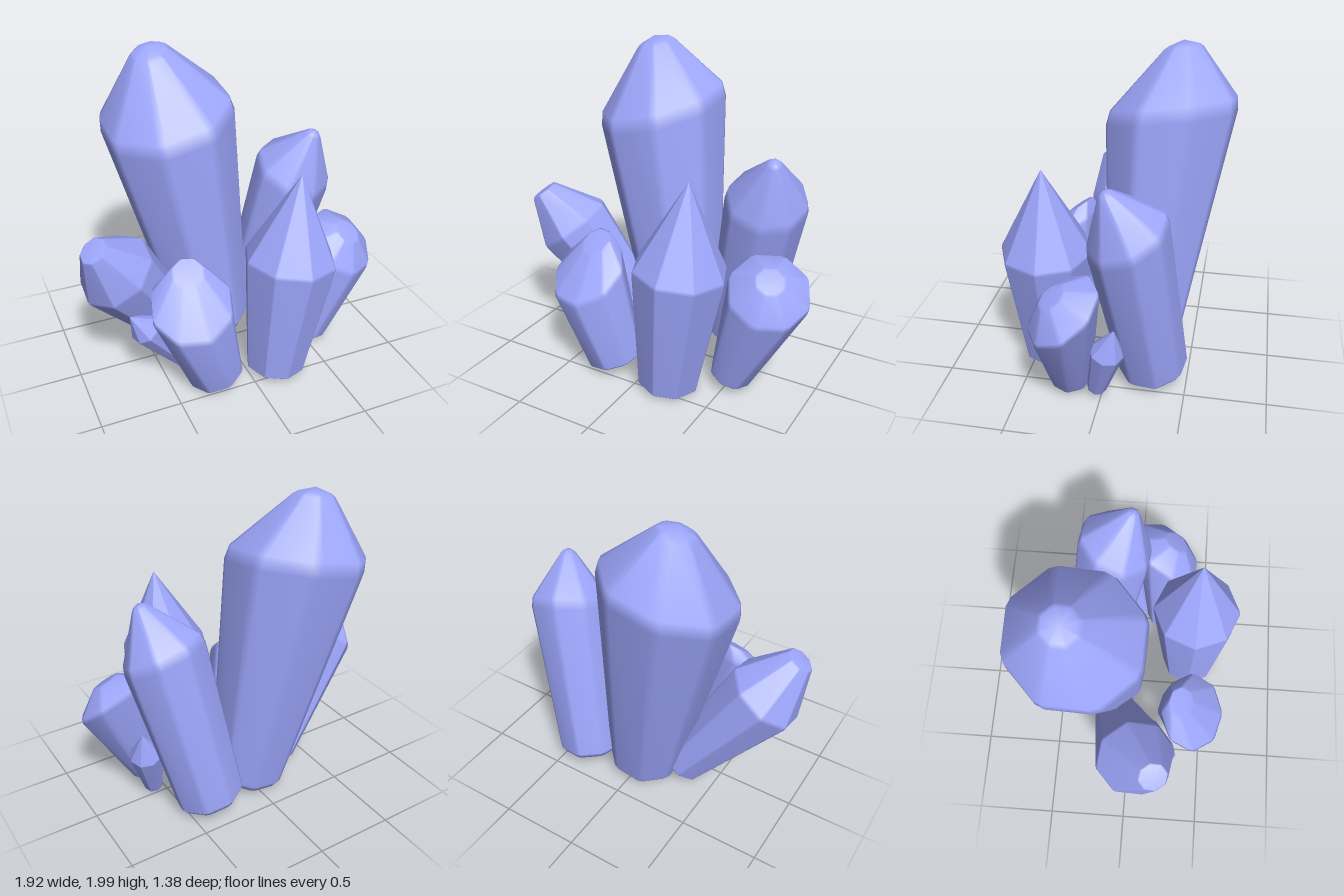
import * as THREE from 'three';

const SIDES = 8;
const V = (a) => new THREE.Vector3(...a);

// Octagon of corners around a centre, facing along n
function octagon(centre, n, r, phase) {
  const u = new THREE.Vector3(1, 0, 0).addScaledVector(n, -n.x).normalize();
  const v = n.clone().cross(u);
  return Array.from({ length: SIDES }, (_, i) => {
    const a = phase + (i / SIDES) * Math.PI * 2;
    return centre.clone().addScaledVector(u, r * Math.cos(a)).addScaledVector(v, r * Math.sin(a));
  });
}

const mix = (A, B, t) => A.map((p, i) => p.clone().lerp(B[i], t));

// Cut every corner of a ring into two close points
function cutCorners(ring, t) {
  return ring.flatMap((p, i) => [
    p.clone().lerp(ring[(i + SIDES - 1) % SIDES], t),
    p.clone().lerp(ring[(i + 1) % SIDES], t),
  ]);
}

// Skin a stack of rings from bottom to top and close both ends
function skin(rings, bottom, top) {
  const n = rings[0].length;
  const points = [...rings.flat(), bottom, top];
  const index = [];
  for (let k = 0; k < rings.length - 1; k++) {
    for (let i = 0; i < n; i++) {
      const j = (i + 1) % n, a = k * n, b = a + n;
      index.push(a + i, a + j, b + i, a + j, b + j, b + i);
    }
  }
  const last = (rings.length - 1) * n, lo = rings.length * n;
  for (let i = 0; i < n; i++) {
    const j = (i + 1) % n;
    index.push(lo, j, i, lo + 1, last + i, last + j);
  }
  const g = new THREE.BufferGeometry().setFromPoints(points);
  g.setIndex(index);
  g.computeVertexNormals();
  return g;
}

// base, shoulder and tip centres with radii; normal tilts the shoulder facet,
// bevel is the softness of the edges
function crystalGeometry({ base, shoulder, tip, r, normal, phase = 0, rise = 0, bevel = 0.1 }) {
  const b = V(base), s = V(shoulder), t = V(tip);
  const axis = s.clone().sub(b).normalize();
  const n = normal ? V(normal).normalize() : axis;
  const B = octagon(b, axis, r[0], phase);
  const S = octagon(s, n, r[1], phase);
  const T = octagon(t, n, r[2], phase);
  const rings = [
    mix(B, B.map(() => b), bevel), mix(B, S, bevel * 0.3),
    mix(B, S, 1 - bevel * 0.4), mix(S, T, bevel * 0.7),
    mix(S, T, 1 - bevel * 0.5), mix(T, T.map(() => t), bevel),
  ].map((ring) => cutCorners(ring, bevel));
  return skin(rings, b, t.clone().addScaledVector(n, rise));
}

const CRYSTALS = {
  mainCrystal: {
    base: [-0.01, 0.05, -0.17], shoulder: [-0.26, 1.59, -0.3], tip: [-0.33, 1.965, -0.345],
    r: [0.245, 0.435, 0.11], normal: [-0.23, 1, 0.15], phase: Math.PI / 8, rise: 0.03,
  },
  frontSpike: {
    base: [0.185, 0.025, 0.4], shoulder: [0.265, 0.81, 0.4], tip: [0.32, 1.36, 0.4],
    r: [0.19, 0.29, 0.001], bevel: 0.03,
  },
  backLeftCrystal: {
    base: [0.345, 0.085, -0.29], shoulder: [0.56, 1.12, -0.15], tip: [0.64, 1.395, -0.04],
    r: [0.22, 0.265, 0.04], normal: [0.26, 1, 0.45], rise: 0.015, phase: 0.17,
  },
  leftCrystal: {
    base: [0.51, 0.055, 0.205], shoulder: [0.74, 0.695, 0.185], tip: [0.765, 0.79, 0.245],
    r: [0.13, 0.26, 0.09], normal: [0.4, 1, 0.63],
  },
  frontRightCrystal: {
    base: [-0.215, 0.055, 0.37], shoulder: [-0.385, 0.65, 0.415], tip: [-0.37, 0.825, 0.33],
    r: [0.18, 0.26, 0.1], normal: [-0.19, 1, 0.72], phase: 0.17,
  },
  rightCrystal: {
    base: [-0.26, 0.085, -0.11], shoulder: [-0.735, 0.77, 0.065], tip: [-0.885, 1.015, 0.18],
    r: [0.15, 0.255, 0.09], phase: Math.PI / 8, bevel: 0.05,
  },
  smallLeftCrystal: {
    base: [0.58, 0.05, 0.03], shoulder: [0.66, 0.38, -0.05], tip: [0.7, 0.56, -0.1],
    r: [0.06, 0.105, 0.001], bevel: 0.03,
  },
  smallRightCrystal: {
    base: [-0.36, 0.055, 0.14], shoulder: [-0.62, 0.42, 0.23], tip: [-0.72, 0.555, 0.26],
    r: [0.065, 0.1, 0.001], bevel: 0.03,
  },
};

export function createModel() {
  const group = new THREE.Group();
  group.name = 'crystalCluster';
  const material = new THREE.MeshStandardMaterial({ color: 0x9fa8ff });
  for (const [name, spec] of Object.entries(CRYSTALS)) {
    const mesh = new THREE.Mesh(crystalGeometry(spec), material);
    mesh.name = name;
    group.add(mesh);
  }
  return group;
}
